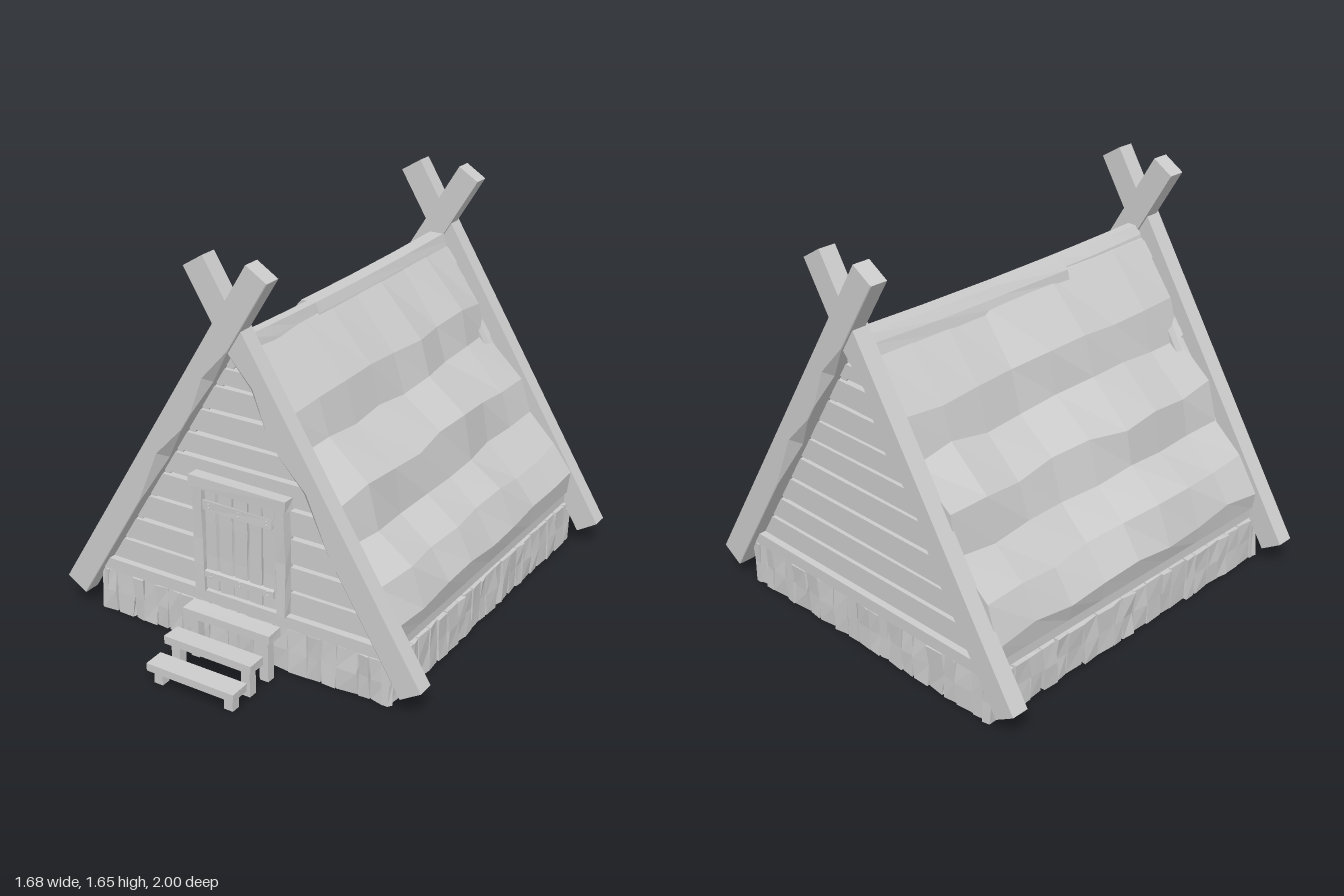
import * as THREE from 'three';

const material = new THREE.MeshStandardMaterial({ color: 0xcccccc, flatShading: true });

let seed = 7;
const rand = () => (seed = (seed * 16807) % 2147483647) / 2147483647;
const jit = (a) => (rand() * 2 - 1) * a;

function add(parent, name, geometry) {
  const mesh = new THREE.Mesh(geometry, material);
  mesh.name = name;
  parent.add(mesh);
  return mesh;
}

function group(parent, name) {
  const g = new THREE.Group();
  g.name = name;
  parent.add(g);
  return g;
}

// Box between two corners whose eight corners are nudged for a hand-hewn look
function plank(parent, name, x0, x1, y0, y1, z0, z1, jx = 0, jy = 0, jz = 0, rows = 1) {
  const geo = new THREE.BoxGeometry(x1 - x0, y1 - y0, z1 - z0, 1, rows, 1);
  const p = geo.attributes.position;
  const nudges = {};
  for (let i = 0; i < p.count; i++) {
    const key = [p.getX(i), p.getY(i), p.getZ(i)].map((v) => v.toFixed(4)).join();
    const n = (nudges[key] ??= [jit(jx), jit(jy), jit(jz)]);
    p.setXYZ(i, p.getX(i) + n[0], p.getY(i) + n[1], p.getZ(i) + n[2]);
  }
  geo.translate((x0 + x1) / 2, (y0 + y1) / 2, (z0 + z1) / 2);
  geo.computeVertexNormals();
  return add(parent, name, geo);
}

// Closed solid through counter-clockwise [x, y] sections at rising z; flip mirrors it in x
function loft(sections, zs, flip = false) {
  if (flip) sections = sections.map((s) => s.map(([x, y]) => [-x, y]).reverse());
  const n = sections[0].length;
  const pos = [];
  const idx = [];
  sections.forEach((s, i) => s.forEach(([x, y]) => pos.push(x, y, zs[i])));
  for (let i = 0; i < sections.length - 1; i++) {
    for (let j = 0; j < n; j++) {
      const a = i * n + j, b = i * n + ((j + 1) % n);
      idx.push(a, b, b + n, a, b + n, a + n);
    }
  }
  const cap = (s) => THREE.ShapeUtils.triangulateShape(s.map(([x, y]) => new THREE.Vector2(x, y)), []);
  const last = (sections.length - 1) * n;
  cap(sections[0]).forEach(([a, b, c]) => idx.push(a, c, b));
  cap(sections[sections.length - 1]).forEach(([a, b, c]) => idx.push(last + a, last + b, last + c));
  const geo = new THREE.BufferGeometry();
  geo.setAttribute('position', new THREE.Float32BufferAttribute(pos, 3));
  geo.setIndex(idx);
  const flat = geo.toNonIndexed();
  flat.computeVertexNormals();
  return flat;
}

// Long crossing gable beam with chipped inner edge
function gableBeam(parent, s, z) {
  const w = 0.053, d = 0.037;
  const chips = [0.003, 0.003, 0.04, 0.003, 0.003, 0.035, 0.003, 0.003];
  const zs = [-0.895, -0.3, -0.05, 0.12, 0.22, 0.38, 0.55, 0.895];
  const sections = chips.map((c) => [[-w, -d], [w - c, -d], [w, -d + c], [w, d], [-w, d]]);
  const geo = loft(sections, zs, s > 0);
  geo.rotateX(-Math.PI / 2);
  const beam = add(parent, 'gableBeam', geo);
  beam.position.set(s * 0.325, 0.8625, z);
  beam.rotation.z = s * 0.552;
}

// One gable end: beams, clapboards and the foundation planks below it
function buildEnd(parent, name) {
  const end = group(parent, name);
  gableBeam(end, -1, 0.803);
  gableBeam(end, 1, 0.79);

  const half = (y) => 0.04 + 0.6 * (1.3 - y);
  const rows = [0.25, 0.345, 0.455, 0.575, 0.695, 0.805, 0.905, 1.015, 1.125, 1.205, 1.28];
  for (let i = 0; i < rows.length - 1; i++) {
    const y0 = rows[i], y1 = rows[i + 1];
    const lift = i === 0 ? 0 : 0.016;
    const l = y0 + lift + jit(0.006), r = y0 + lift + jit(0.006);
    const back = [[-half(y0), y0], [half(y0), y0], [half(y1), y1], [-half(y1), y1]];
    const front = [[-half(y0), l], [half(y0), r], [half(y1), y1], [-half(y1), y1]];
    add(end, 'clapboard', loft([back, back, front], [0.7, 0.735, 0.775]));
  }
  plank(end, 'sillBoard', -0.67, 0.67, 0.2, 0.252, 0.74, 0.805);

  let x = -0.69;
  while (x < 0.66) {
    const w = Math.min(0.05 + rand() * 0.045, 0.69 - x);
    plank(end, 'foundationPlank', x, x + w - 0.004, 0.002, 0.19, 0.765, 0.795, 0.006, 0.002, 0.008, 2);
    x += w;
  }
  plank(end, 'foundationBacking', -0.67, 0.67, 0.01, 0.19, 0.745, 0.765);
}

// Wavy roof slope: three overlapping courses that bulge and dip
function buildRoof(parent) {
  const profile = [
    [0.62, 0.25], [0.69, 0.25], [0.705, 0.335], [0.625, 0.47], [0.485, 0.59],
    [0.445, 0.76], [0.265, 0.91], [0.225, 1.07], [0.045, 1.29], [0, 1.3], [0, 1.24],
  ];
  const steps = 8;
  for (const flip of [false, true]) {
    const sections = [], zs = [];
    for (let i = 0; i <= steps; i++) {
      zs.push(-0.76 + (1.52 * i) / steps);
      const wave = jit(0.018);
      sections.push(profile.map(([x, y], j) => {
        if (j < 2 || j > 7) return [x, y];
        if (j === 2) return [x + jit(0.006), y + jit(0.018)];
        return [x + wave + jit(0.012), y + wave * 0.6 + jit(0.016)];
      }));
    }
    add(parent, flip ? 'rightRoofSlope' : 'leftRoofSlope', loft(sections, zs, flip));
  }

  // Sagging ridge cap in two lengths
  const ridge = (z0, z1, left) => {
    const zs = [0, 1, 2, 3].map((i) => z0 + ((z1 - z0) * i) / 3);
    const sections = zs.map((z) => {
      const top = 1.33 + 0.012 * (z / 0.76) ** 2;
      return [[left - 0.015, 1.25], [0.06, 1.25], [0.045 + jit(0.004), top - 0.04], [0.03, top],
        [left + 0.025, top], [left + jit(0.005), top - 0.035]];
    });
    add(parent, 'ridgeCap', loft(sections, zs));
  };
  ridge(-0.76, 0.28, -0.06);
  ridge(0.28, 0.76, -0.035);
}

// Side foundation planks and sill
function buildSides(parent) {
  plank(parent, 'floor', -0.66, 0.66, 0.19, 0.25, -0.76, 0.76);
  for (const s of [-1, 1]) {
    plank(parent, 'sideSill', s * 0.66 - 0.02, s * 0.66 + 0.02, 0.2, 0.25, -0.76, 0.76);
    plank(parent, 'sideBacking', s * 0.655 - 0.006, s * 0.655 + 0.006, 0.01, 0.19, -0.76, 0.76);
    let z = -0.8;
    while (z < 0.78) {
      const w = Math.min(0.05 + rand() * 0.045, 0.8 - z);
      plank(parent, 'foundationPlank', s * 0.675 - 0.015, s * 0.675 + 0.015, 0.002, 0.19,
        z, z + w - 0.004, 0.008, 0.002, 0.006, 2);
      z += w;
    }
  }
}

// Plank door with frame, straps and bolts
function buildDoor(parent) {
  const door = group(parent, 'door');
  plank(door, 'doorPost', -0.19, -0.152, 0.25, 0.715, 0.6, 0.655, 0.005, 0, 0.003, 4);
  plank(door, 'doorPost', 0.195, 0.235, 0.25, 0.715, 0.6, 0.655, 0.005, 0, 0.003, 4);
  plank(door, 'lintel', -0.2, 0.25, 0.71, 0.755, 0.6, 0.67, 0.005, 0.006, 0.003);
  plank(door, 'doorBacking', -0.155, 0.2, 0.25, 0.71, 0.6, 0.62);
  const edges = [-0.147, -0.085, -0.01, 0.06, 0.125, 0.19];
  for (let i = 0; i < 5; i++) {
    plank(door, 'doorPlank', edges[i], edges[i + 1] - 0.01, 0.26, 0.7, 0.615, 0.636, 0.004, 0.004, 0.002, 3);
  }
  for (const y of [0.33, 0.632]) {
    plank(door, 'doorStrap', -0.15, 0.175, y - 0.017, y + 0.017, 0.63, 0.65, 0.004, 0.005, 0.001);
    for (const x of [-0.12, 0.02, 0.15]) {
      for (const dy of [-0.008, 0.008]) {
        const bolt = add(door, 'bolt', new THREE.CylinderGeometry(0.005, 0.005, 0.008, 6));
        bolt.rotation.x = Math.PI / 2;
        bolt.position.set(x, y + dy, 0.652);
      }
    }
  }
}

// Three free-standing steps on short legs
function buildSteps(parent) {
  const steps = group(parent, 'steps');
  for (const [z0, z1, y] of [[0.68, 0.76, 0.22], [0.8, 0.885, 0.155], [0.91, 1, 0.095]]) {
    plank(steps, 'tread', -0.177, 0.23, y - 0.036, y, z0, z1, 0.002, 0.004, 0);
    const z = (z0 + z1) / 2;
    for (const x of [-0.14, 0.19]) {
      plank(steps, 'stepLeg', x - 0.02, x + 0.02, 0, y - 0.03, z - 0.02, z + 0.02);
    }
  }
}

export function createModel() {
  const model = new THREE.Group();
  model.name = 'cabin';
  const house = group(model, 'house');
  house.position.z = -0.16;
  buildEnd(house, 'frontEnd');
  buildEnd(house, 'backEnd');
  house.getObjectByName('backEnd').rotation.y = Math.PI;
  buildRoof(house);
  buildSides(house);
  buildDoor(model);
  buildSteps(model);
  return model;
}
